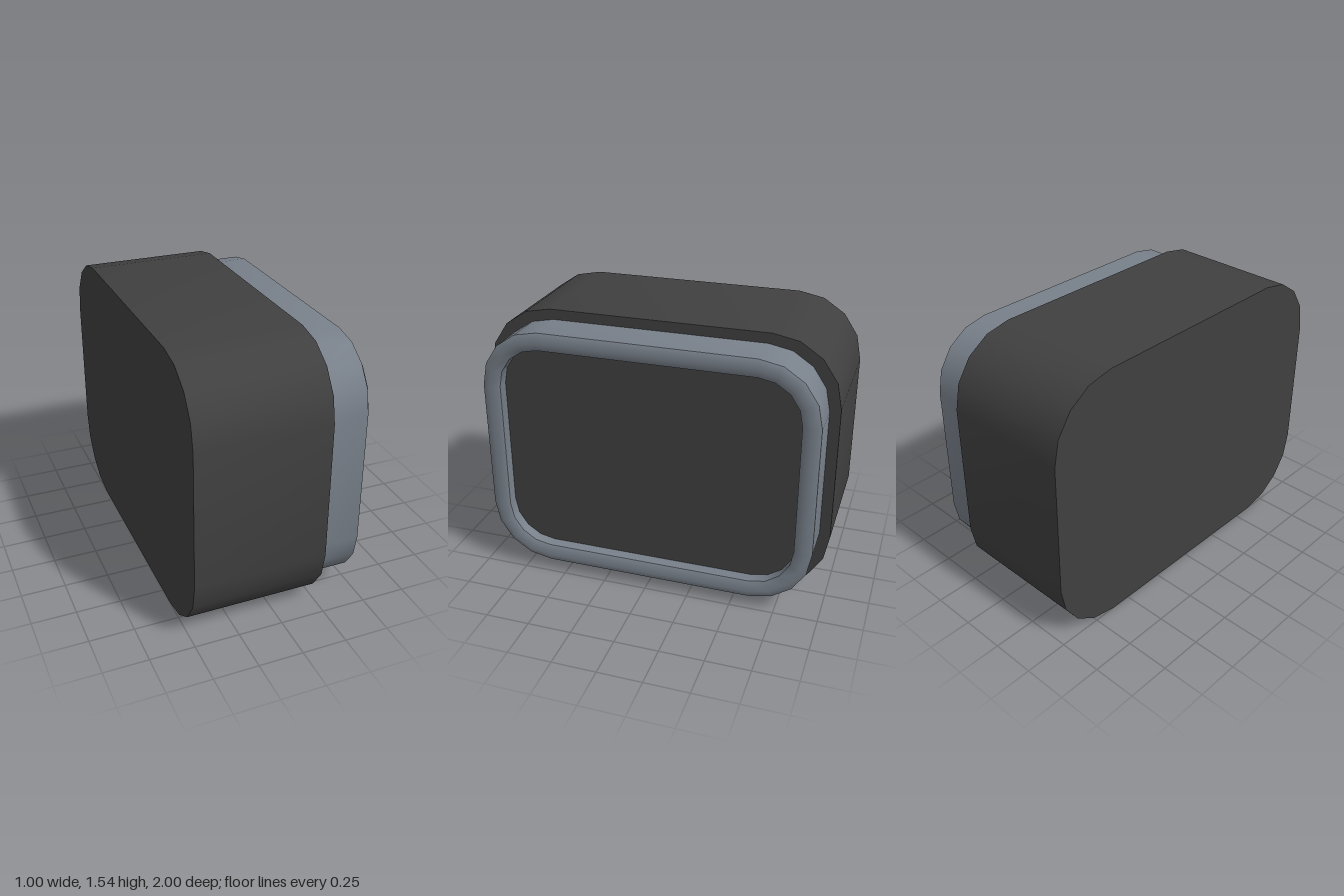
import * as THREE from 'three';
import { toCreasedNormals } from 'three/addons/utils/BufferGeometryUtils.js';

const MID_Y = 0.77;
const CORNER_STEPS = 4;

// Counter-clockwise rounded rectangle, centred on the origin
function roundedRect(halfW, halfH, r) {
  const points = [];
  const signs = [[1, 1], [-1, 1], [-1, -1], [1, -1]];
  signs.forEach(([sx, sy], corner) => {
    for (let i = 0; i <= CORNER_STEPS; i++) {
      const a = (corner + i / CORNER_STEPS) * Math.PI / 2;
      points.push(new THREE.Vector2(
        sx * (halfW - r) + r * Math.cos(a),
        sy * (halfH - r) + r * Math.sin(a)));
    }
  });
  return points;
}

// Outline of the frame, moved inwards
const frameOutline = (inset) => roundedRect(0.94 - inset, 0.7125 - inset, 0.34 - inset);

// Solid block running along x from x0 to x1
function block(outline, x0, x1) {
  const geometry = new THREE.ExtrudeGeometry(new THREE.Shape(outline), { depth: x1 - x0, bevelEnabled: false });
  geometry.translate(0, 0, x0);
  return toCreasedNormals(geometry, 0.6);
}

// Band swept around the frame; section is a list of [inset, x]
function band(section, crease) {
  const rings = section.map(([inset, x]) => frameOutline(inset).map((p) => [p.x, p.y, x]));
  const positions = [];
  for (let i = 0; i < rings.length - 1; i++) {
    const n = rings[i].length;
    for (let j = 0; j < n; j++) {
      const k = (j + 1) % n;
      const a = rings[i][j], b = rings[i][k], c = rings[i + 1][k], d = rings[i + 1][j];
      positions.push(...a, ...b, ...d, ...b, ...c, ...d);
    }
  }
  const geometry = new THREE.BufferGeometry();
  geometry.setAttribute('position', new THREE.Float32BufferAttribute(positions, 3));
  return toCreasedNormals(geometry, crease);
}

export function createModel() {
  const charcoal = new THREE.MeshStandardMaterial({ name: 'charcoal', color: 0x404040 });
  const steelGrey = new THREE.MeshStandardMaterial({ name: 'steel grey', color: 0x78808a });
  const group = new THREE.Group();

  const add = (name, geometry, material) => {
    // Turn the sweep axis from z to x and stand the part on the ground
    geometry.rotateY(Math.PI / 2).translate(0, MID_Y, 0);
    const mesh = new THREE.Mesh(geometry, material);
    mesh.name = name;
    group.add(mesh);
  };

  // Main housing and recessed panel
  add('housing', block(roundedRect(1, 0.77, 0.38), -0.5, 0.24), charcoal);
  add('recessedPanel', block(frameOutline(0.1), 0.24, 0.4), charcoal);

  // Raised frame: outer wall, softly ridged rim and inner wall
  add('frameOuterWall', band([[0, 0.24], [0, 0.465]], 0.6), steelGrey);
  add('frameRim', band([[0, 0.465], [0.05, 0.495], [0.1, 0.465]], 1.2), steelGrey);
  add('frameInnerWall', band([[0.1, 0.465], [0.1, 0.4]], 0.6), steelGrey);

  return group;
}
